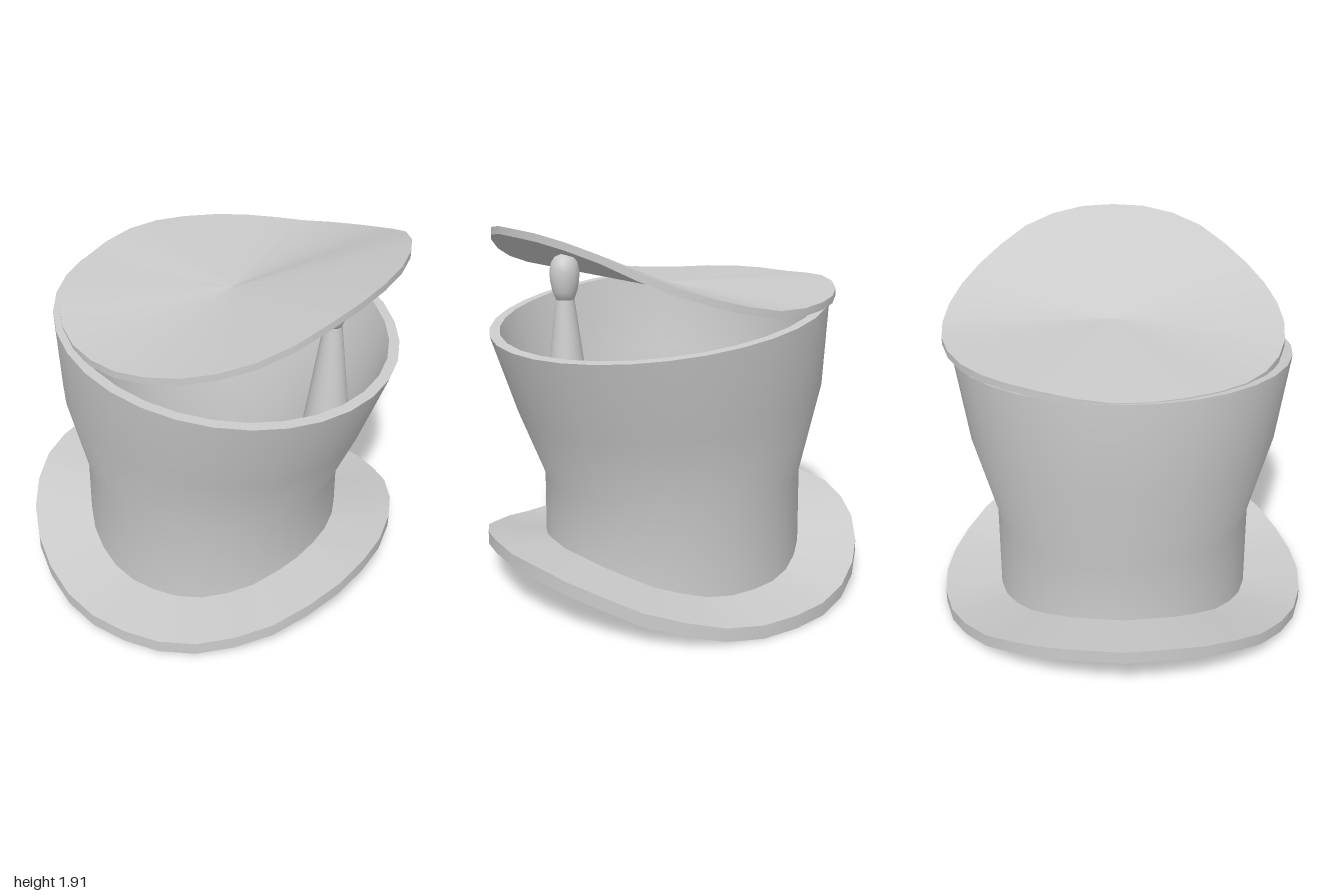
import * as THREE from 'three';

const N = 32;
const material = new THREE.MeshStandardMaterial({ color: 0xcccccc, side: THREE.DoubleSide });

// A closed ring of N points; f(cos, sin) gives [x, y, z]
const ring = (f) => Array.from({ length: N }, (_, j) => {
  const a = (j / N) * Math.PI * 2;
  return f(Math.cos(a), Math.sin(a));
});

// Smooth skin through successive rings (faces outward when rings go upward)
function skin(name, rings) {
  const index = [];
  for (let i = 0; i < rings.length - 1; i++) {
    for (let j = 0; j < N; j++) {
      const k = (j + 1) % N;
      const a = i * N + j, b = i * N + k, c = a + N, d = b + N;
      index.push(a, c, b, b, c, d);
    }
  }
  const g = new THREE.BufferGeometry();
  g.setAttribute('position', new THREE.Float32BufferAttribute(rings.flat(2), 3));
  g.setIndex(index);
  g.computeVertexNormals();
  const mesh = new THREE.Mesh(g, material);
  mesh.name = name;
  return mesh;
}

// Curved disc: a rim of varying height that runs straight to its centre
function bentDisc(name, cx, cz, rx, rz, centreY, thickness, rimY) {
  const rim = (dy) => ring((c, s) => [cx + rx * c, rimY(c, s) + dy, cz + rz * s]);
  const centre = (dy) => ring(() => [cx, centreY + dy, cz]);
  const group = new THREE.Group();
  group.name = name;
  group.add(
    skin(name + 'Top', [rim(0), centre(0)]),
    skin(name + 'Edge', [rim(-thickness), rim(0)]),
    skin(name + 'Underside', [centre(-thickness), rim(-thickness)]),
  );
  return group;
}

// Height looked up by angle from the +x end, evenly spaced
function byAngle(table, t) {
  const f = t * (table.length - 1);
  const i = Math.min(Math.floor(f + 1e-6), table.length - 2);
  return THREE.MathUtils.lerp(table[i], table[i + 1], f - i);
}

function lathe(name, points) {
  const g = new THREE.LatheGeometry(points.map(([r, y]) => new THREE.Vector2(r, y)), 24);
  const mesh = new THREE.Mesh(g, material);
  mesh.name = name;
  return mesh;
}

export function createModel() {
  const hat = new THREE.Group();
  hat.name = 'topHat';

  // Brim: curls up at both sides
  const brimRise = [0.31, 0.31, 0.28, 0.24, 0.18, 0.135, 0.09, 0.07, 0.07];
  const brimY = (c) => byAngle(brimRise, Math.acos(Math.min(1, Math.abs(c))) / (Math.PI / 2));
  hat.add(bentDisc('brim', 0, 0, 1, 1, 0.13, 0.07, brimY));

  // Crown: straight band, then a flare that leans toward +x
  const tilted = (cx, y, rx, rz, drop) => ring((c, s) => [cx + rx * c, y - drop * c, rz * s]);
  const foot = (r) => ring((c, s) => [r * c, THREE.MathUtils.lerp(0.13, brimY(c), r) - 0.03, r * s]);
  const rimOut = tilted(0.0875, 1.435, 0.8675, 0.875, 0.11);
  const rimIn = tilted(0.0875, 1.435, 0.815, 0.822, 0.104);
  const crown = new THREE.Group();
  crown.name = 'crown';
  crown.add(
    skin('crownOutside', [foot(0.688), tilted(0, 0.57, 0.683, 0.683, 0), tilted(0.02, 0.995, 0.8, 0.8, 0.075), rimOut]),
    skin('crownRim', [rimOut, rimIn]),
    skin('crownInside', [rimIn, tilted(0.02, 0.995, 0.75, 0.75, 0.07), tilted(0, 0.57, 0.633, 0.633, 0), foot(0.633)]),
  );
  hat.add(crown);

  // Lid: bent disc propped open at +x, resting on the rim at -x
  const lidRise = [1.915, 1.91, 1.885, 1.84, 1.77, 1.705, 1.65, 1.605, 1.57,
    1.55, 1.543, 1.54, 1.545, 1.555, 1.56, 1.555, 1.55];
  const lidY = (c, s) =>
    byAngle(lidRise, Math.acos(THREE.MathUtils.clamp(c, -1, 1)) / Math.PI) + 0.05 * Math.min(0, c) * s;
  hat.add(bentDisc('lid', 0.087, -0.045, 0.858, 0.875, 1.585, 0.037, lidY));

  // Peg propping the lid: tapered body and rounded head
  const peg = new THREE.Group();
  peg.name = 'peg';
  peg.position.set(0.65, 0, 0);
  peg.add(
    lathe('pegBody', [[0, 0.95], [0.122, 0.95], [0.122, 0.95], [0.045, 1.55]]),
    lathe('pegHead', [[0, 1.54], [0.042, 1.545], [0.06, 1.59], [0.07, 1.64], [0.072, 1.69],
      [0.063, 1.73], [0.045, 1.755], [0.022, 1.765], [0, 1.767]]),
  );
  hat.add(peg);

  return hat;
}
